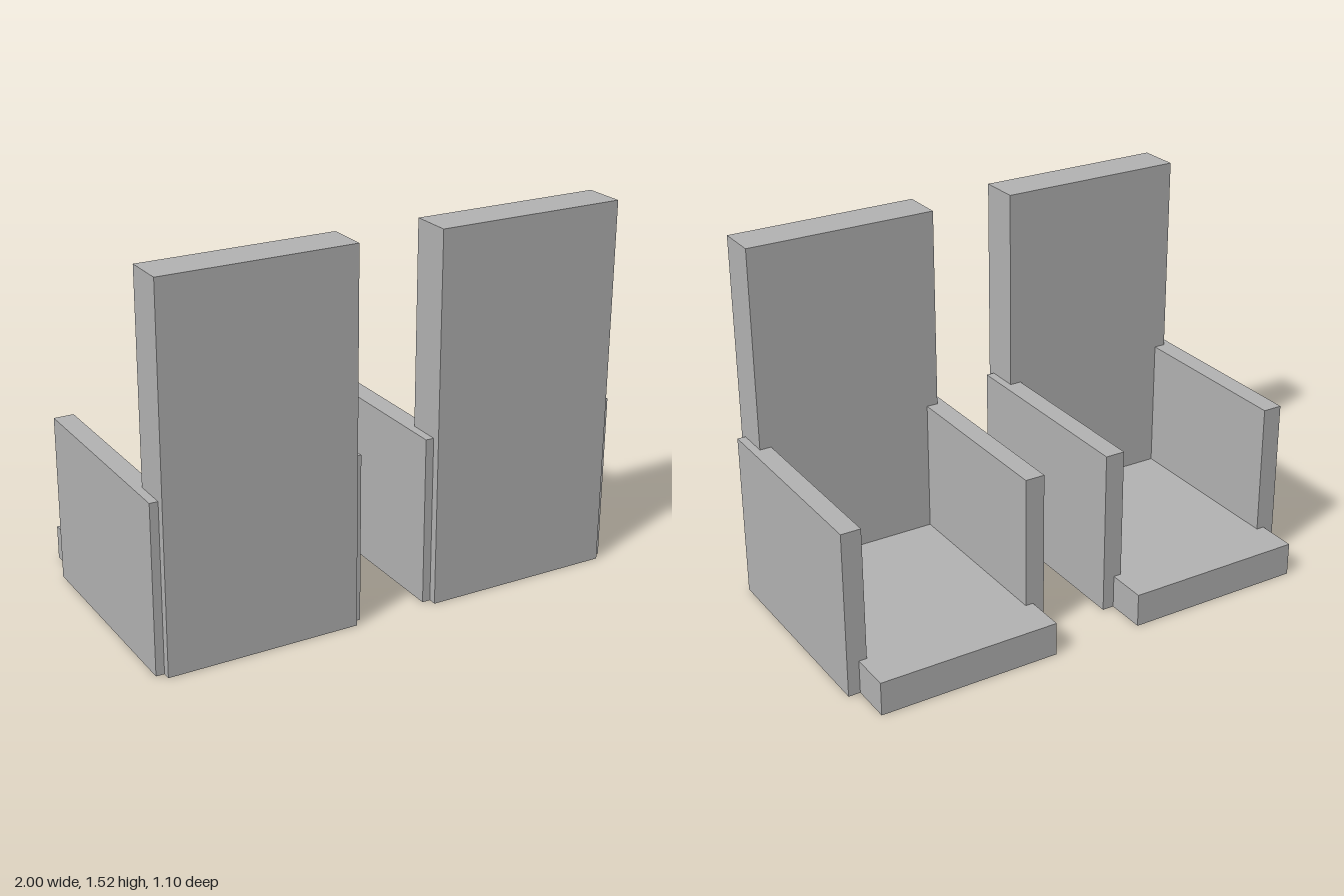
import * as THREE from 'three';

const grey = new THREE.MeshStandardMaterial({ color: 0xb2b2b2 });
grey.name = 'grey';

// Box given by its lower and upper corners
function block(name, [x0, y0, z0], [x1, y1, z1]) {
  const geometry = new THREE.BoxGeometry(x1 - x0, y1 - y0, z1 - z0);
  const mesh = new THREE.Mesh(geometry, grey);
  mesh.name = name;
  mesh.position.set((x0 + x1) / 2, (y0 + y1) / 2, (z0 + z1) / 2);
  return mesh;
}

// One seat: tall panel, low base slab and two side panels
function createSeat(name) {
  const seat = new THREE.Group();
  seat.name = name;
  seat.add(
    block('backrest', [-0.395, 0, 0.38], [0.395, 1.52, 0.55]),
    block('seatBase', [-0.38, 0, -0.55], [0.38, 0.14, 0.38]),
    block('leftArmrest', [0.347, 0, -0.38], [0.429, 0.69, 0.517]),
    block('rightArmrest', [-0.429, 0, -0.38], [-0.347, 0.69, 0.517])
  );
  return seat;
}

export function createModel() {
  const model = new THREE.Group();
  model.name = 'seatPair';
  for (const [name, x] of [['leftSeat', 0.571], ['rightSeat', -0.571]]) {
    const seat = createSeat(name);
    seat.position.x = x;
    model.add(seat);
  }
  return model;
}
